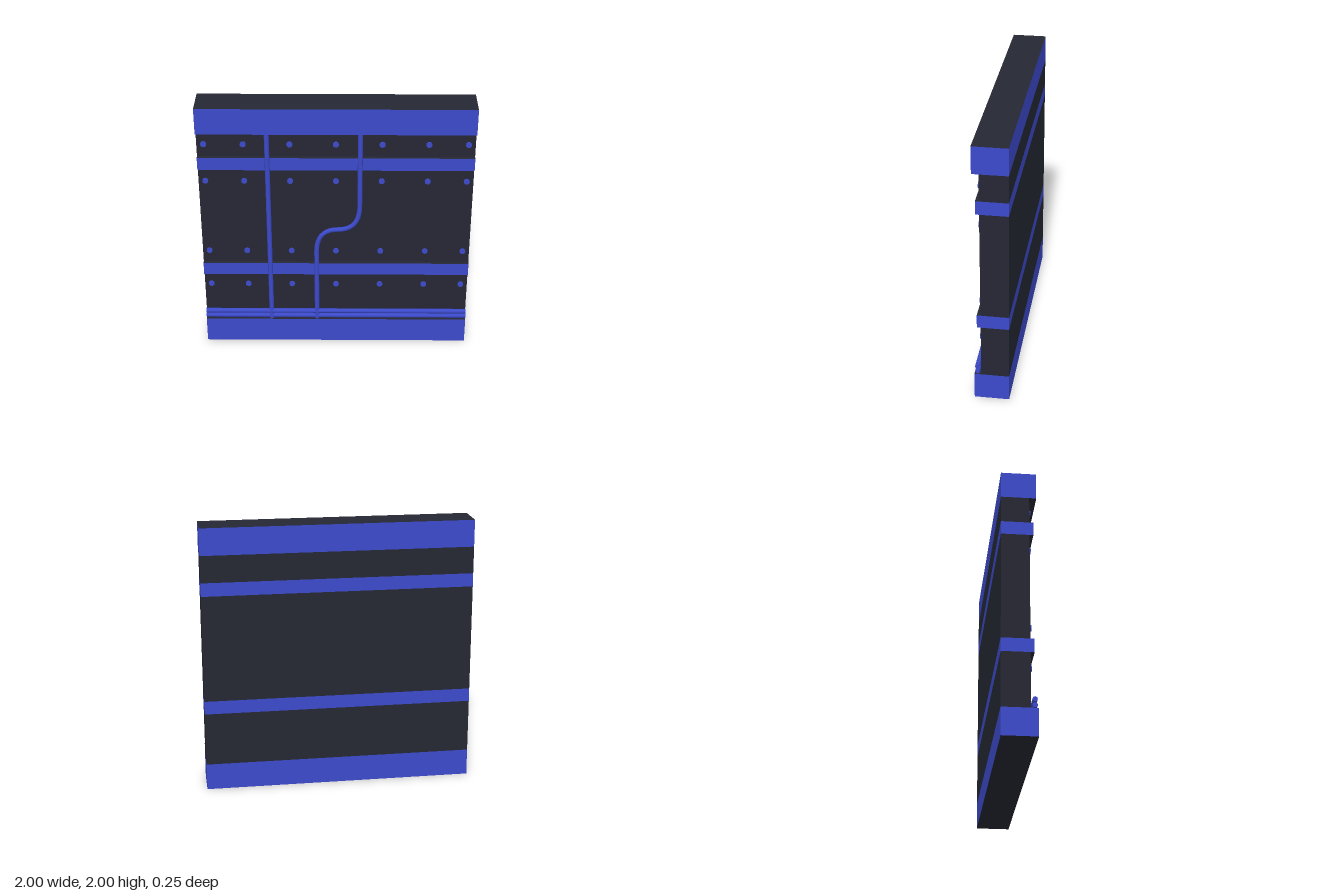
import * as THREE from 'three';

const blue = new THREE.MeshStandardMaterial({ color: 0x3c4acb });
const dark = new THREE.MeshStandardMaterial({ color: 0x252733 });
const BACK = -0.125, WALL = 0.075, PIPE_Z = 0.102, PIPE_R = 0.018;

export function createModel() {
  const group = new THREE.Group();
  const add = (name, geometry, material, x = 0, y = 0, z = 0) => {
    const mesh = new THREE.Mesh(geometry, material);
    mesh.name = name;
    mesh.position.set(x, y, z);
    group.add(mesh);
    return mesh;
  };

  // Full-width slab from the shared back plane to a given front plane
  const slab = (name, y0, y1, front, material) =>
    add(name, new THREE.BoxGeometry(2, y1 - y0, front - BACK), material,
      0, (y0 + y1) / 2, (front + BACK) / 2);

  // Wall panels between the rails
  for (const [y0, y1] of [[0.2, 0.6], [0.7, 1.5], [1.6, 1.8]])
    slab('wallPanel', y0, y1, WALL, dark);

  // Rails: blue sides with dark upper and lower faces
  const railFaces = [blue, blue, dark, dark, blue, blue];
  slab('bottomBeam', 0, 0.2, 0.125, railFaces);
  slab('lowerBand', 0.6, 0.7, 0.102, railFaces);
  slab('upperBand', 1.5, 1.6, 0.102, railFaces);
  slab('topBeam', 1.8, 2, 0.125, railFaces);

  // Rows of rivets
  const rivet = new THREE.CylinderGeometry(0.022, 0.022, 0.016, 12).rotateX(Math.PI / 2);
  for (const y of [0.5, 0.8, 1.4, 1.7])
    for (const x of [-0.95, -0.667, -0.333, 0, 0.333, 0.667, 0.95])
      add('rivet', rivet, blue, x, y, WALL + 0.003);

  // Straight pipes
  const straight = (length) => new THREE.CylinderGeometry(PIPE_R, PIPE_R, length, 8);
  add('verticalPipe', straight(1.6), blue, -0.495, 1, PIPE_Z);
  for (const y of [0.222, 0.264])
    add('skirtingPipe', straight(2).rotateZ(Math.PI / 2), blue, 0, y, PIPE_Z);

  // S-bend pipe: two straight runs joined by two quarter bends
  const v = (x, y) => new THREE.Vector3(x, y, PIPE_Z);
  const bends = [
    new THREE.QuadraticBezierCurve3(v(0.175, 1.2), v(0.175, 1), v(0.015, 1)),
    new THREE.QuadraticBezierCurve3(v(0.015, 1), v(-0.145, 1), v(-0.145, 0.8)),
  ];
  const path = new THREE.CurvePath();
  path.add(new THREE.LineCurve3(v(0.175, 1.8), v(0.175, 1.2)));
  bends.forEach((bend) => path.add(bend));
  path.add(new THREE.LineCurve3(v(-0.145, 0.8), v(-0.145, 0.2)));
  add('bentPipe', new THREE.TubeGeometry(path, 64, PIPE_R, 8), blue);

  return group;
}
